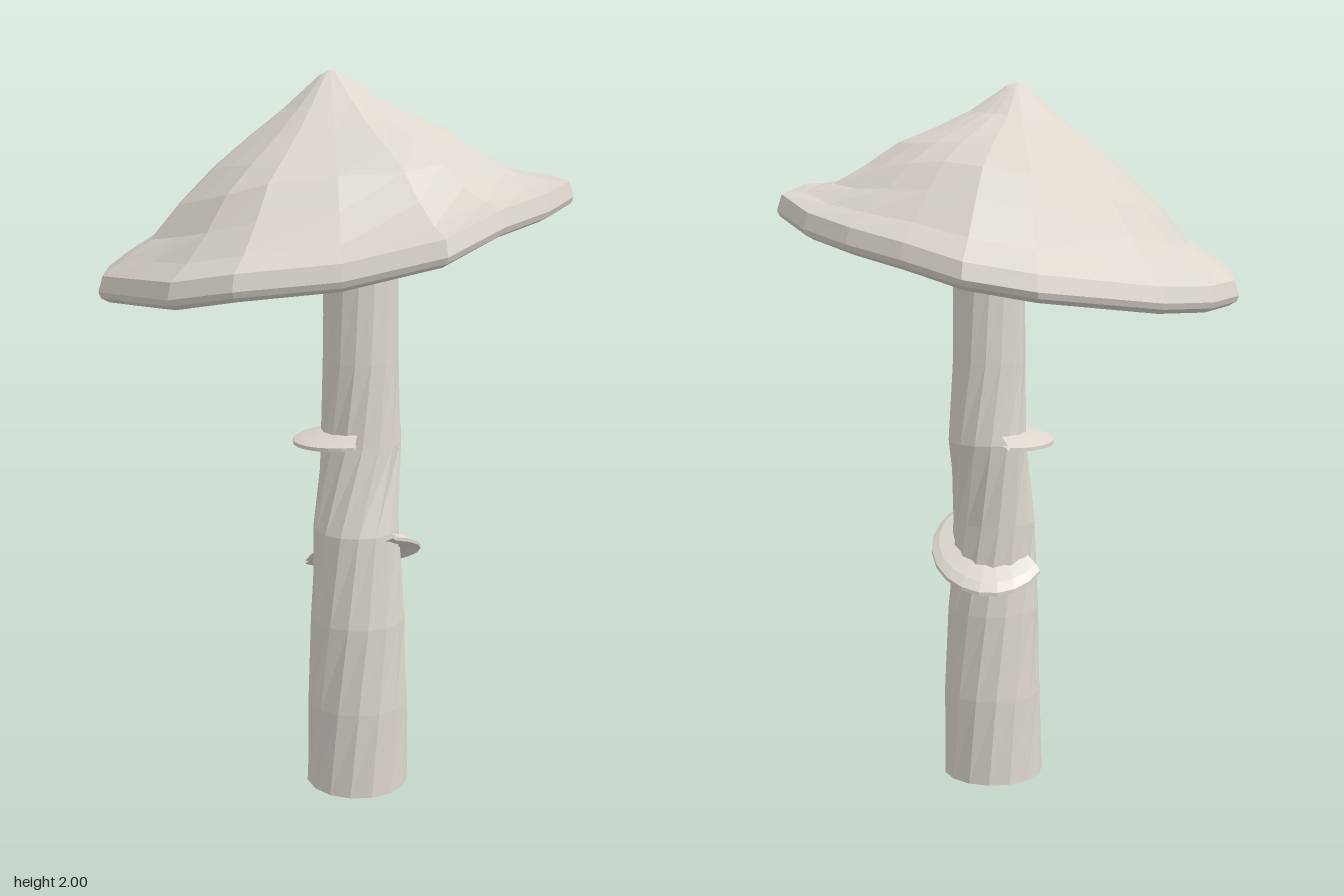
import * as THREE from 'three';

const V = (x, y, z) => new THREE.Vector3(x, y, z);

// Joins rows of points with quads; each row runs around the vertical axis from +x towards +z.
function skin(rows, closed = true) {
  const n = rows[0].length, pos = [], idx = [];
  rows.forEach(row => row.forEach(p => pos.push(p.x, p.y, p.z)));
  for (let i = 0; i + 1 < rows.length; i++) {
    for (let j = 0; j < (closed ? n : n - 1); j++) {
      const k = (j + 1) % n, a = i * n, c = a + n;
      idx.push(a + j, c + j, a + k, a + k, c + j, c + k);
    }
  }
  const g = new THREE.BufferGeometry();
  g.setAttribute('position', new THREE.Float32BufferAttribute(pos, 3));
  g.setIndex(idx);
  const flat = g.toNonIndexed();
  flat.computeVertexNormals();
  return flat;
}

// Rim outline: x, z and height of the lower lip
const RIM = [
  [0.627, 0.14, 1.65], [0.55, 0.34, 1.64], [0.43, 0.49, 1.62], [0.29, 0.61, 1.565], [0.04, 0.64, 1.51],
  [-0.22, 0.648, 1.485], [-0.385, 0.57, 1.45], [-0.5, 0.41, 1.43], [-0.61, 0.25, 1.41], [-0.63, 0.03, 1.40],
  [-0.575, -0.17, 1.40], [-0.46, -0.33, 1.41], [-0.18, -0.62, 1.46], [0, -0.65, 1.49], [0.17, -0.57, 1.53],
  [0.33, -0.48, 1.56], [0.475, -0.36, 1.59], [0.602, -0.18, 1.63],
];
const LIP = 0.07;
const PEAK = V(-0.01, 2, 0.09);
const GILL_CENTRE = V(0.07, 1.73, 0.085);

// Cap slopes: distance from the peak, then relative height towards +x, +z, -x, -z
const SLOPES = [
  [0.89, 0.01, 0.08, 0.08, 0.12],
  [0.77, 0.05, 0.25, 0.17, 0.32],
  [0.65, 0.19, 0.44, 0.34, 0.5],
  [0.5, 0.43, 0.55, 0.52, 0.61],
  [0.35, 0.57, 0.67, 0.67, 0.7],
  [0.2, 0.74, 0.82, 0.81, 0.79],
  [0.05, 0.97, 0.98, 0.97, 0.96],
];

// A copy of the rim, scaled about the peak axis and lifted
const rimRow = (s, lift) => RIM.map(([x, z, y]) =>
  V(PEAK.x + (x - PEAK.x) * s, y + lift, PEAK.z + (z - PEAK.z) * s));
const gillEdge = () => rimRow(0.955, 0);

function capGeometry() {
  const rows = [gillEdge(), rimRow(0.99, 0.012), rimRow(1, 0.028), rimRow(0.98, LIP)];
  for (const [t, px, pz, nx, nz] of SLOPES) {
    rows.push(rimRow(t, LIP).map((p, i) => {
      const dx = RIM[i][0] - PEAK.x, dz = RIM[i][1] - PEAK.z, w = dx * dx / (dx * dx + dz * dz);
      const f = w * (dx > 0 ? px : nx) + (1 - w) * (dz > 0 ? pz : nz);
      return p.setY(THREE.MathUtils.lerp(p.y, PEAK.y, f));
    }));
  }
  rows.push(RIM.map(() => PEAK));
  return skin(rows);
}

function gillGeometry() {
  const edge = gillEdge();
  const rows = [[0, 1], [0.3, 0.97], [0.6, 0.73], [0.8, 0.38]].map(([t, f]) => edge.map(p => V(
    THREE.MathUtils.lerp(GILL_CENTRE.x, p.x, t),
    THREE.MathUtils.lerp(p.y, GILL_CENTRE.y, f),
    THREE.MathUtils.lerp(GILL_CENTRE.z, p.z, t))));
  return skin([...rows, edge]);
}

// Stem rings: height, centre x, centre z, radius, twist
const STEM = [
  [0, 0.067, 0.112, 0.145, 0], [0.25, 0.068, 0.115, 0.141, -0.15], [0.5, 0.067, 0.118, 0.132, -0.35],
  [0.76, 0.062, 0.115, 0.119, -0.6], [1.0, 0.074, 0.077, 0.112, -1.0], [1.23, 0.071, 0.08, 0.104, -1.25],
  [1.46, 0.07, 0.08, 0.102, -1.35], [1.64, 0.07, 0.084, 0.101, -1.4], [1.74, 0.07, 0.085, 0.118, -1.45],
];

function stemGeometry() {
  const ring = (y, cx, cz, r, twist) => Array.from({ length: 15 }, (_, j) => {
    const a = twist + j / 15 * Math.PI * 2;
    return V(cx + r * Math.cos(a), y, cz + r * Math.sin(a));
  });
  const rows = STEM.map(s => ring(...s));
  rows.unshift(ring(0, 0.067, 0.112, 0, 0));
  return skin(rows);
}

// Torn veil: a thin tilted band around part of the stem, drooping at its outer edge
function veilGeometry({ x, y, z, inner, outer, from, to, slopeX, slopeZ, droop }) {
  const section = [[0, -0.014], [0.7, -0.012], [1, -droop - 0.006], [1, -droop + 0.004], [0.7, 0.002], [0, 0.016]];
  const steps = 12;
  const rows = section.map(([t, h]) => Array.from({ length: steps + 1 }, (_, j) => {
    const u = j / steps, a = THREE.MathUtils.degToRad(from + (to - from) * u);
    const width = (outer - inner) * (0.75 + 0.25 * Math.sin(u * Math.PI));
    const r = inner + width * t, dx = r * Math.cos(a), dz = r * Math.sin(a);
    return V(x + dx, y + h + slopeX * dx + slopeZ * dz, z + dz);
  }));
  return skin(rows, false);
}

export function createModel() {
  const flesh = new THREE.MeshStandardMaterial({ name: 'pale flesh', color: 0xdcd6cd, flatShading: true });
  const veilFlesh = flesh.clone();
  veilFlesh.side = THREE.DoubleSide;
  const brown = new THREE.MeshStandardMaterial({ name: 'gill brown', color: 0xa9775f, flatShading: true });

  const model = new THREE.Group();
  model.name = 'mushroom';
  const add = (name, geometry, material) => {
    const mesh = new THREE.Mesh(geometry, material);
    mesh.name = name;
    model.add(mesh);
  };

  add('cap', capGeometry(), flesh);
  add('gills', gillGeometry(), brown);
  add('stem', stemGeometry(), flesh);
  add('upperVeil', veilGeometry({
    x: 0.075, y: 1.022, z: 0.077, inner: 0.1, outer: 0.19, from: 95, to: 238, slopeX: 0.07, slopeZ: 0.04, droop: 0.01,
  }), veilFlesh);
  add('lowerVeil', veilGeometry({
    x: 0.065, y: 0.7, z: 0.112, inner: 0.11, outer: 0.182, from: -155, to: 48, slopeX: 0.12, slopeZ: 0.56, droop: 0.016,
  }), veilFlesh);
  return model;
}
